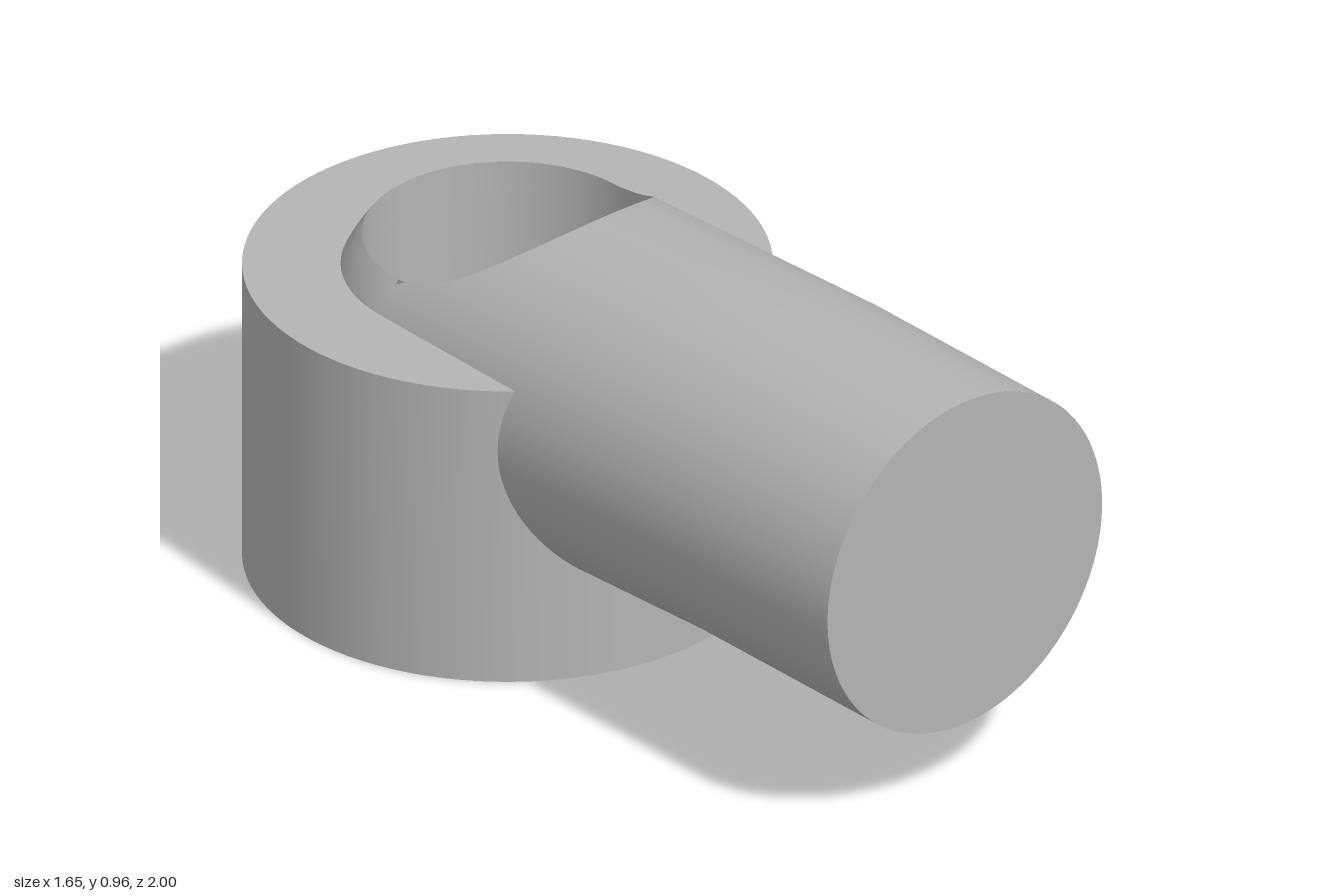
import * as THREE from 'three';
import { toCreasedNormals } from 'three/addons/utils/BufferGeometryUtils.js';

const BORE = 0.308, ARM_R = 0.3875, RING_R = 0.56, RING_H = 0.7;
const BALL_Y = 0.538, BEND = 0.89, END = 1.45, SLOPE = 0.044;

// Height of the arm's axis at distance t from the bore axis
const axisY = t => BALL_Y + SLOPE * Math.min(t, BEND);

// Smooth surface from a rule f(i, j) -> [x, y, z]
function grid(nu, nv, f) {
  const pos = [], index = [];
  for (let i = 0; i <= nu; i++) for (let j = 0; j <= nv; j++) pos.push(...f(i, j));
  for (let i = 0; i < nu; i++) for (let j = 0; j < nv; j++) {
    const a = i * (nv + 1) + j, b = a + nv + 1;
    index.push(a, b, a + 1, b, b + 1, a + 1);
  }
  const g = new THREE.BufferGeometry();
  g.setAttribute('position', new THREE.Float32BufferAttribute(pos, 3));
  g.setIndex(index);
  g.computeVertexNormals();
  return g;
}

export function createModel() {
  const grey = new THREE.MeshStandardMaterial({ color: 0xb4b4b4, side: THREE.DoubleSide });
  grey.name = 'grey';
  const model = new THREE.Group();
  model.name = 'ringWithArm';
  // Local +z runs along the arm, the bore is on the local y axis
  model.position.set(-0.27, 0, -0.44);
  model.rotation.y = Math.atan2(0.523, 0.853);
  const add = (name, geometry) => {
    const m = new THREE.Mesh(geometry, grey);
    m.name = name;
    model.add(m);
    return m;
  };

  // Thick ring with a groove inside its bore
  const profile = [
    [BORE, 0], [RING_R, 0], [RING_R, RING_H], [BORE, RING_H],
    [BORE, 0.206], [0.348, 0.206], [0.348, 0.134], [BORE, 0.134], [BORE, 0],
  ].map(p => new THREE.Vector2(...p));
  add('ring', toCreasedNormals(new THREE.LatheGeometry(profile, 96), 0.6));

  // Round arm, trimmed by the bore on top and hidden in the ring wall below
  const N = 192;
  add('arm', grid(N, 3, (i, j) => {
    const a = Math.PI + (i / N) * Math.PI * 2;
    const s = -ARM_R * Math.sin(a);
    const cut = Math.cos(a) > 0.3 ? BORE : 0.45;
    const start = Math.sqrt(Math.max(0, cut * cut - s * s));
    const t = [start, (start + BEND) / 2, BEND, END][j];
    return [s, axisY(t) + ARM_R * Math.cos(a), t];
  }));

  // Flat end of the arm
  add('armEnd', new THREE.CircleGeometry(ARM_R, 96)).position.set(0, axisY(END), END);

  // Ball-shaped shoulder behind the bore
  const shoulder = [];
  for (let k = 0; k <= 8; k++) {
    const r = 0.362 + (BORE - 0.362) * k / 8;
    shoulder.push(new THREE.Vector2(r, BALL_Y + Math.sqrt(ARM_R * ARM_R - r * r)));
  }
  add('shoulder', new THREE.LatheGeometry(shoulder, 64, Math.PI / 2, Math.PI));

  // Bore wall rising from the ring top to the trimmed edge of the arm
  add('boreWall', grid(N, 1, (i, j) => {
    const a = -(i / N) * Math.PI * 2;
    const x = BORE * Math.sin(a), z = BORE * Math.cos(a);
    const top = z < 0
      ? BALL_Y + Math.sqrt(ARM_R * ARM_R - BORE * BORE)
      : axisY(z) + Math.sqrt(ARM_R * ARM_R - x * x);
    return [x, j ? top : RING_H, z];
  }));

  const root = new THREE.Group();
  root.name = 'model';
  root.add(model);
  return root;
}
